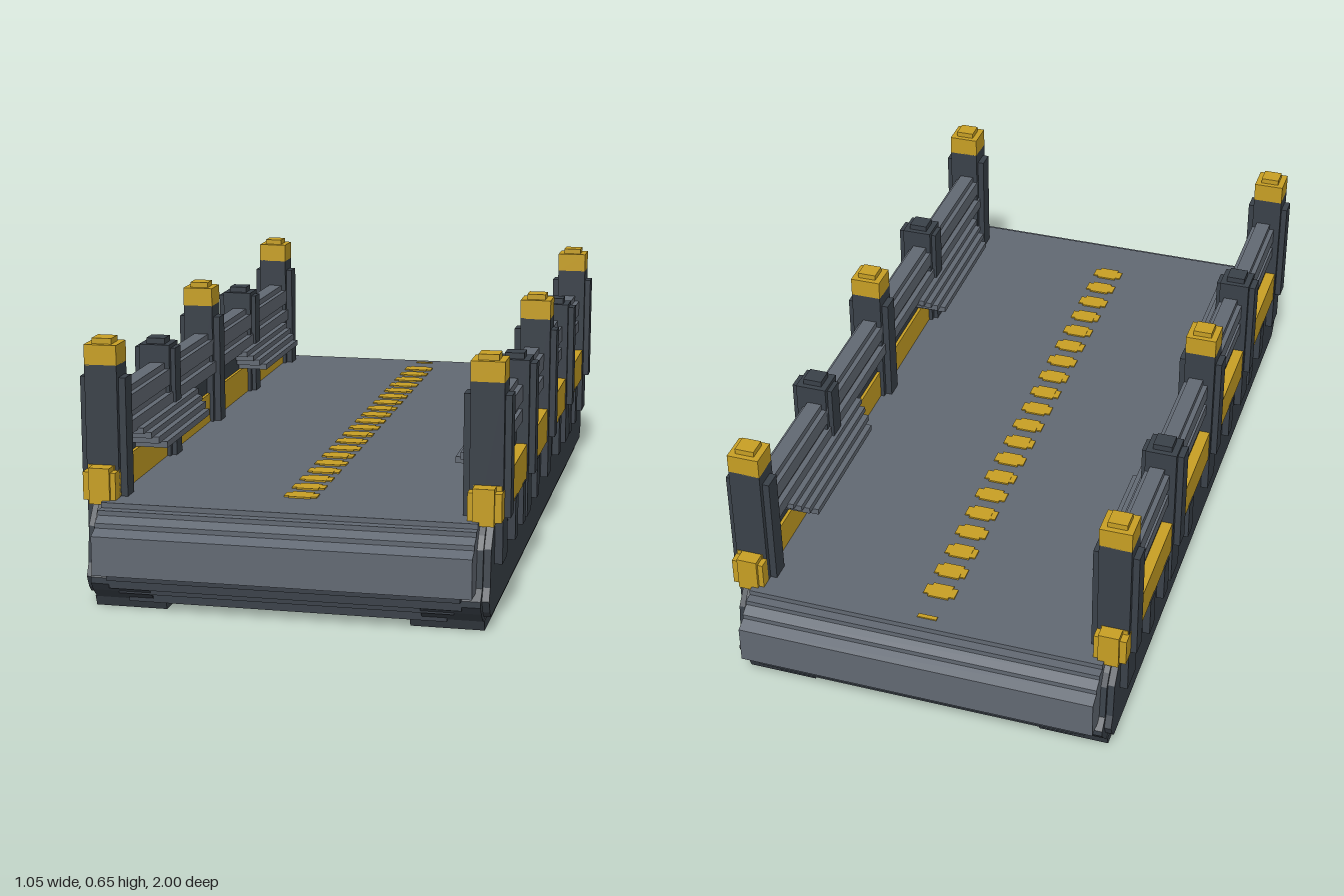
import * as THREE from 'three';

const material = (name, color) => Object.assign(new THREE.MeshStandardMaterial({ color }), { name });

export function createModel() {
  const grey = material('deckGrey', 0x626973);
  const dark = material('darkSteel', 0x3a4149);
  const yellow = material('safetyYellow', 0xc8a024);
  const model = new THREE.Group();
  model.name = 'bridgeSegment';

  // Box given by its limits on each axis
  const box = (parent, name, mat, x0, x1, y0, y1, z0, z1) => {
    const mesh = new THREE.Mesh(new THREE.BoxGeometry(x1 - x0, y1 - y0, z1 - z0), mat);
    mesh.position.set((x0 + x1) / 2, (y0 + y1) / 2, (z0 + z1) / 2);
    mesh.name = name;
    parent.add(mesh);
    return mesh;
  };

  // Side profile [z, y] listed bottom to top, mirrored in z, swept from x0 to x1
  const sweep = (parent, name, mat, profile, x0, x1) => {
    const points = [...profile, ...profile.map(([z, y]) => [-z, y]).reverse()];
    const shape = new THREE.Shape(points.map(([z, y]) => new THREE.Vector2(z, y)));
    const geometry = new THREE.ExtrudeGeometry(shape, { depth: x1 - x0, bevelEnabled: false });
    geometry.rotateY(Math.PI / 2).translate(x0, 0, 0);
    const mesh = new THREE.Mesh(geometry, mat);
    mesh.name = name;
    parent.add(mesh);
  };

  // Road deck with stepped end lips
  sweep(model, 'deck', grey, [
    [0.96, 0.1], [1, 0.1], [1, 0.197], [0.97, 0.21], [0.97, 0.222],
    [0.945, 0.235], [0.945, 0.247], [0.92, 0.247], [0.92, 0.26],
  ], -0.46, 0.46);

  // Centre line dashes
  for (let i = 0; i < 20; i++) {
    const z = -0.782 + i * 0.0812;
    box(model, 'laneDash', yellow, -0.027, 0.027, 0.259, 0.264, z - 0.025, z + 0.025);
    box(model, 'laneDashEnds', yellow, -0.041, 0.041, 0.259, 0.2635, z - 0.017, z + 0.017);
  }
  box(model, 'laneMark', yellow, -0.025, 0.025, 0.259, 0.263, -0.888, -0.876);

  // Underside: lining plate, stepped end beams, cross ribs and coffer ledges
  box(model, 'bottomPlate', dark, -0.44, 0.44, 0.08, 0.102, -0.96, 0.96);
  for (const s of [-1, 1]) {
    [[0.43, 0.085, 0.108, 0.985], [0.43, 0.06, 0.09, 0.965], [0.41, 0.045, 0.07, 0.95],
      [0.39, 0.02, 0.05, 0.93]].forEach(([w, y0, y1, z]) =>
      box(model, 'endBeam', dark, -w, w, y0, y1, Math.min(s * 0.8, s * z), Math.max(s * 0.8, s * z)));
  }
  for (const z of [-0.78, -0.57, -0.36, -0.12, 0.12, 0.36, 0.57, 0.78]) {
    box(model, 'crossRib', dark, -0.31, 0.31, 0.03, 0.09, z - 0.022, z + 0.022);
    box(model, 'crossRibFlange', dark, -0.31, 0.31, 0.06, 0.09, z - 0.04, z + 0.04);
  }

  // One side, built at +x
  const buildSide = () => {
    const side = new THREE.Group();

    // Girder with stepped ends and a foot
    sweep(side, 'girder', dark, [
      [0.92, 0.02], [0.935, 0.035], [0.95, 0.05], [0.965, 0.07], [0.965, 0.085], [0.94, 0.11],
      [0.93, 0.2], [0.91, 0.23], [0.89, 0.25],
    ], 0.33, 0.475);
    sweep(side, 'girderWeb', dark, [
      [0.915, 0.034], [0.93, 0.05], [0.945, 0.08], [0.93, 0.11], [0.92, 0.2], [0.88, 0.25],
    ], 0.47, 0.492);
    sweep(side, 'foot', dark, [[0.915, 0], [0.925, 0.025]], 0.3, 0.478);
    box(side, 'cofferLedge', dark, 0.26, 0.34, 0.055, 0.09, -0.8, 0.8);

    // Girder ribs
    for (const z of [0.635, 0.495, 0.235]) {
      for (const s of [-1, 1]) {
        box(side, 'girderRib', dark, 0.48, 0.511, 0.15, 0.255, s * z - 0.023, s * z + 0.023);
      }
    }

    // Yellow kerb with rounded end blocks
    box(side, 'kerb', yellow, 0.44, 0.508, 0.25, 0.34, -0.87, 0.87);
    for (const s of [-1, 1]) {
      box(side, 'kerbEnd', yellow, 0.43, 0.512, 0.258, 0.328, s * 0.87 - 0.027, s * 0.87 + 0.027);
      box(side, 'kerbEndTop', yellow, 0.443, 0.495, 0.25, 0.34, s * 0.87 - 0.035, s * 0.87 + 0.035);
    }

    // Railing: dark lower panel, stepped grey rail
    box(side, 'railPanel', dark, 0.448, 0.48, 0.33, 0.41, -0.82, 0.82);
    box(side, 'lowerRail', grey, 0.425, 0.495, 0.398, 0.43, -0.82, 0.82);
    box(side, 'middleRail', grey, 0.44, 0.485, 0.425, 0.455, -0.82, 0.82);
    box(side, 'upperRail', grey, 0.43, 0.495, 0.45, 0.492, -0.82, 0.82);
    box(side, 'railCap', grey, 0.443, 0.482, 0.49, 0.508, -0.82, 0.82);

    // Stepped inner ledges around the short posts
    for (const s of [-1, 1]) {
      [[0.365, 0.342, 0.358, 0.19], [0.38, 0.357, 0.374, 0.21], [0.395, 0.373, 0.388, 0.225],
        [0.41, 0.387, 0.402, 0.24]].forEach(([x, y0, y1, half]) =>
        box(side, 'innerLedge', grey, x, 0.455, y0, y1, s * 0.49 - half, s * 0.49 + half));
    }

    // Tall posts with yellow caps
    for (const z of [-0.83, 0, 0.83]) {
      box(side, 'tallPost', dark, 0.43, 0.511, 0.15, 0.587, z - 0.038, z + 0.038);
      box(side, 'postFlange', dark, 0.413, 0.527, 0.26, 0.555, z - 0.024, z + 0.024);
      box(side, 'postCap', yellow, 0.43, 0.511, 0.585, 0.636, z - 0.038, z + 0.038);
      box(side, 'postCapTop', yellow, 0.446, 0.495, 0.63, 0.65, z - 0.024, z + 0.024);
    }

    // Short posts
    for (const z of [-0.405, 0.405]) {
      box(side, 'shortPost', dark, 0.43, 0.511, 0.15, 0.555, z - 0.038, z + 0.038);
      box(side, 'shortPostFlange', dark, 0.418, 0.527, 0.26, 0.545, z - 0.024, z + 0.024);
      box(side, 'shortPostTop', dark, 0.446, 0.495, 0.55, 0.57, z - 0.024, z + 0.024);
    }
    return side;
  };

  // The segment is symmetric front to back, so a half turn gives the other side
  const left = buildSide();
  left.name = 'leftSide';
  const right = buildSide();
  right.name = 'rightSide';
  right.rotation.y = Math.PI;
  model.add(left, right);
  return model;
}
